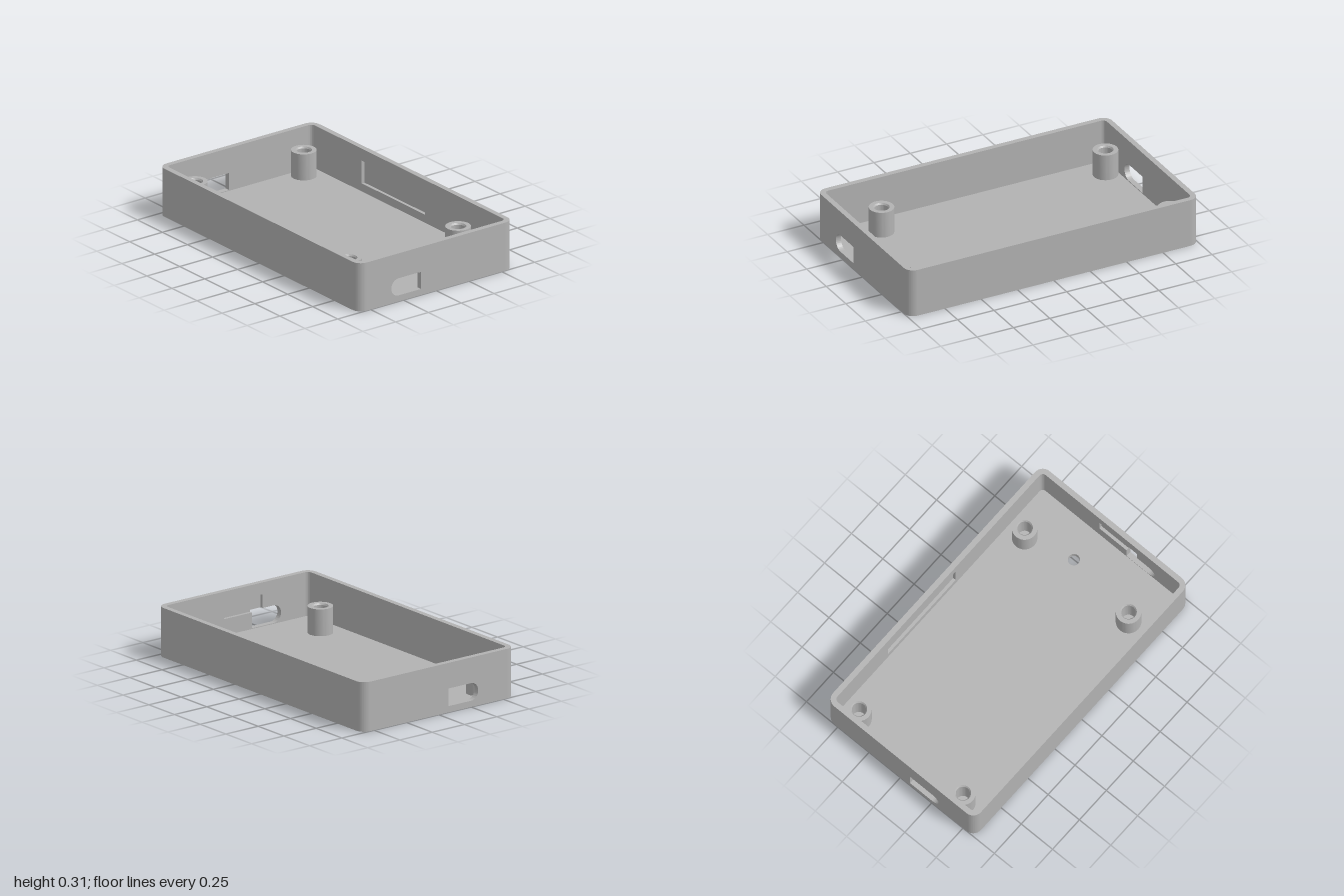
import * as THREE from 'three';
import { toCreasedNormals } from 'three/addons/utils/BufferGeometryUtils.js';

const W = 0.59, L = 1, H = 0.315;          // half width, half length, height
const T = 0.035, R = 0.062;                // wall thickness, outer corner radius
const SKIN = 0.015;                        // wall left behind a recess

const rect = (C, x0, y0, x1, y1) => {
  const s = new C();
  s.moveTo(x0, y0).lineTo(x1, y0).lineTo(x1, y1).lineTo(x0, y1).closePath();
  return s;
};

// Cable slot: round on one end, square on the other
function slot(x0, x1) {
  const y0 = 0.04, y1 = 0.152, r = (y1 - y0) / 2, p = new THREE.Path();
  p.moveTo(x1, y0).lineTo(x1, y1).lineTo(x0 + r, y1);
  p.absarc(x0 + r, y0 + r, r, Math.PI / 2, Math.PI * 1.5, false);
  return p.closePath();
}

function extrude(shape, depth) {
  const g = new THREE.ExtrudeGeometry(shape, { depth, bevelEnabled: false, curveSegments: 24 });
  return toCreasedNormals(g, 0.5);
}

// Upright wall panel with optional holes
function panel(half, depth, holes = []) {
  const s = rect(THREE.Shape, -half, 0, half, H);
  s.holes.push(...holes);
  return extrude(s, depth);
}

export function createModel() {
  const group = new THREE.Group();
  const grey = new THREE.MeshStandardMaterial({ color: 0xb2b2b2 });
  grey.name = 'casing grey';
  const add = (name, geometry) => {
    const m = new THREE.Mesh(geometry, grey);
    m.name = name;
    group.add(m);
    return m;
  };

  // Floor with a small through hole
  const ix = W - T, iz = L - T, r = R - T;
  const floor = new THREE.Shape();
  floor.absarc(ix - r, iz - r, r, 0, Math.PI / 2, false);
  floor.absarc(-ix + r, iz - r, r, Math.PI / 2, Math.PI, false);
  floor.absarc(-ix + r, -iz + r, r, Math.PI, Math.PI * 1.5, false);
  floor.absarc(ix - r, -iz + r, r, Math.PI * 1.5, Math.PI * 2, false);
  floor.closePath();
  const hole = new THREE.Path();
  hole.absarc(0.11, -0.74, 0.037, 0, Math.PI * 2, true);
  floor.holes.push(hole);
  add('floor', extrude(floor, T).rotateX(-Math.PI / 2));

  // Rounded wall corners
  const corner = new THREE.Shape();
  corner.absarc(0, 0, R, 0, Math.PI / 2, false);
  corner.absarc(0, 0, r, Math.PI / 2, 0, true);
  corner.closePath();
  [[1, 1], [-1, 1], [-1, -1], [1, -1]].forEach(([sx, sy], i) => {
    const g = extrude(corner, H).rotateZ(i * Math.PI / 2);
    g.translate(sx * (W - R), sy * (L - R), 0).rotateX(-Math.PI / 2);
    add('wallCorner', g);
  });

  // Back wall with cable slot
  add('backWall', panel(W - R, T, [slot(-0.305, -0.077)])).position.z = -L;

  // Front wall: outer skin with slot, inner layer with slot joined to a shallow recess
  add('frontWallOuter', panel(W - R, SKIN, [slot(-0.342, -0.117)])).position.z = L - SKIN;
  const joined = new THREE.Path();
  joined.moveTo(-0.117, 0.04).lineTo(-0.117, 0.14).lineTo(0.1, 0.14).lineTo(0.1, 0.24);
  joined.lineTo(-0.2, 0.24).lineTo(-0.2, 0.152).lineTo(-0.286, 0.152);
  joined.absarc(-0.286, 0.096, 0.056, Math.PI / 2, Math.PI * 1.5, false);
  joined.closePath();
  add('frontWallInner', panel(W - R, T - SKIN, [joined])).position.z = L - T;

  // Side walls: the left one has a long recess on its inner face
  const side = (name, x, depth, holes) =>
    (add(name, panel(L - R, depth, holes).rotateY(Math.PI / 2)).position.x = x);
  side('rightWall', -W, T);
  side('leftWallOuter', W - SKIN, SKIN);
  side('leftWallInner', W - T, T - SKIN, [rect(THREE.Path, -0.16, 0.088, 0.47, 0.237)]);

  // Hollow screw posts with a chamfered mouth
  const profile = [[0.078, T], [0.078, 0.205], [0.05, 0.205], [0.043, 0.195], [0.043, T]];
  const post = toCreasedNormals(
    new THREE.LatheGeometry(profile.map(([x, y]) => new THREE.Vector2(x, y)), 48), 0.5);
  for (const x of [-0.4, 0.43])
    for (const z of [-0.885, 0.655]) add('screwPost', post).position.set(x, 0, z);

  return group;
}
